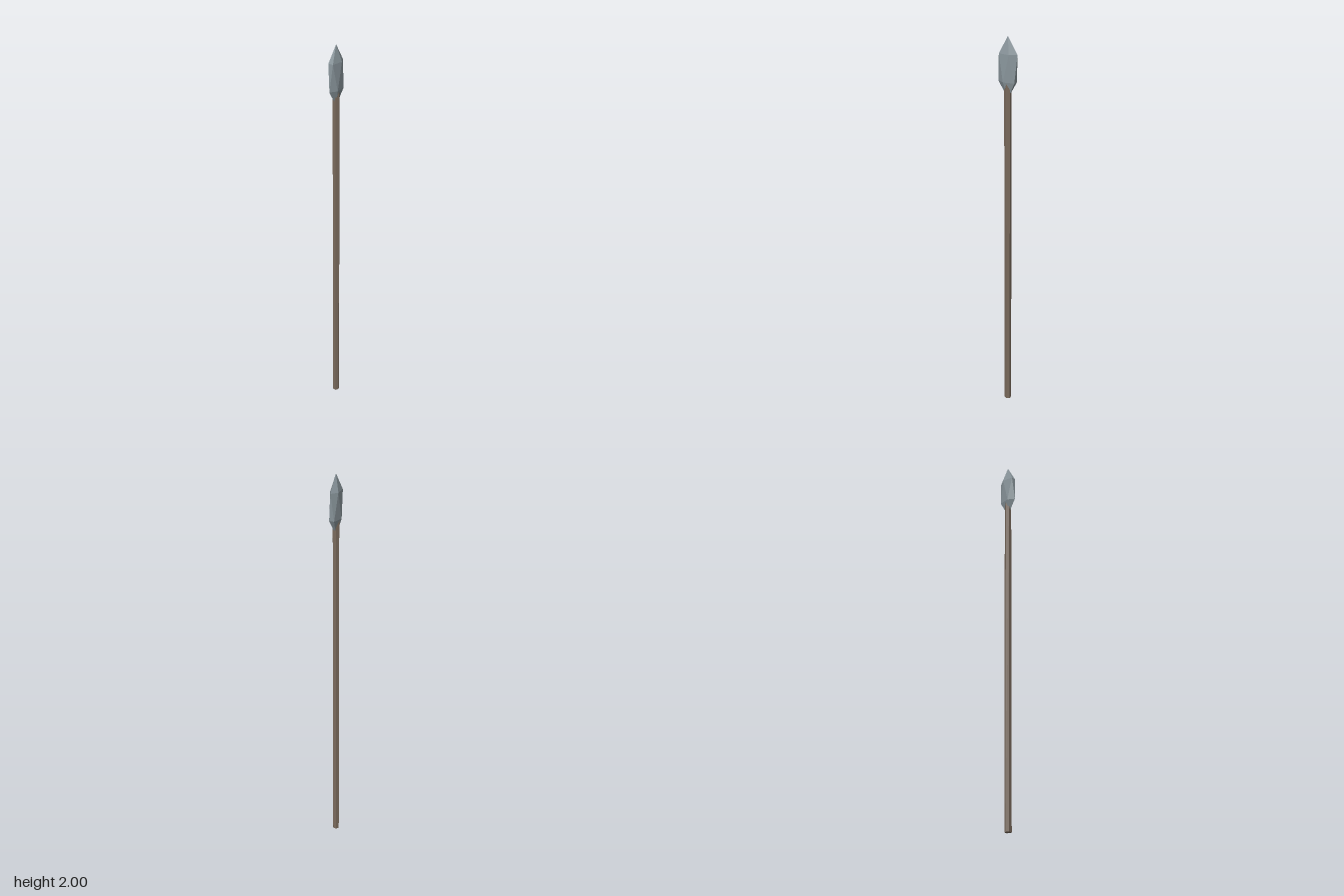
import * as THREE from 'three';
import { ConvexGeometry } from 'three/addons/geometries/ConvexGeometry.js';

const SHAFT_TOP = 1.78, HEAD_Y = 1.851, HEAD_HALF = 0.149;

// Five points around an oval; sign -1 gives the ring turned by half a turn
function ring(y, sign) {
  return Array.from({ length: 5 }, (_, i) => {
    const a = (i * Math.PI * 2) / 5;
    return new THREE.Vector3(sign * 0.05 * Math.cos(a), y, sign * 0.0225 * Math.sin(a));
  });
}

export function createModel() {
  const group = new THREE.Group();
  group.name = 'spear';

  // Six-sided wooden shaft
  const shaft = new THREE.Mesh(
    new THREE.CylinderGeometry(0.0175, 0.0175, SHAFT_TOP, 6),
    new THREE.MeshStandardMaterial({ color: 0x7a6a5c, flatShading: true })
  );
  shaft.name = 'shaft';
  shaft.position.y = SHAFT_TOP / 2;
  group.add(shaft);

  // Faceted stone head: a flattened, stretched icosahedron with its tip up
  const step = HEAD_HALF / Math.sqrt(5);
  const head = new THREE.Mesh(
    new ConvexGeometry([
      new THREE.Vector3(0, HEAD_HALF, 0),
      ...ring(step, 1),
      ...ring(-step, -1),
      new THREE.Vector3(0, -HEAD_HALF, 0),
    ]),
    new THREE.MeshStandardMaterial({ color: 0x8a969c, flatShading: true })
  );
  head.name = 'spearhead';
  head.position.y = HEAD_Y;
  group.add(head);

  return group;
}
